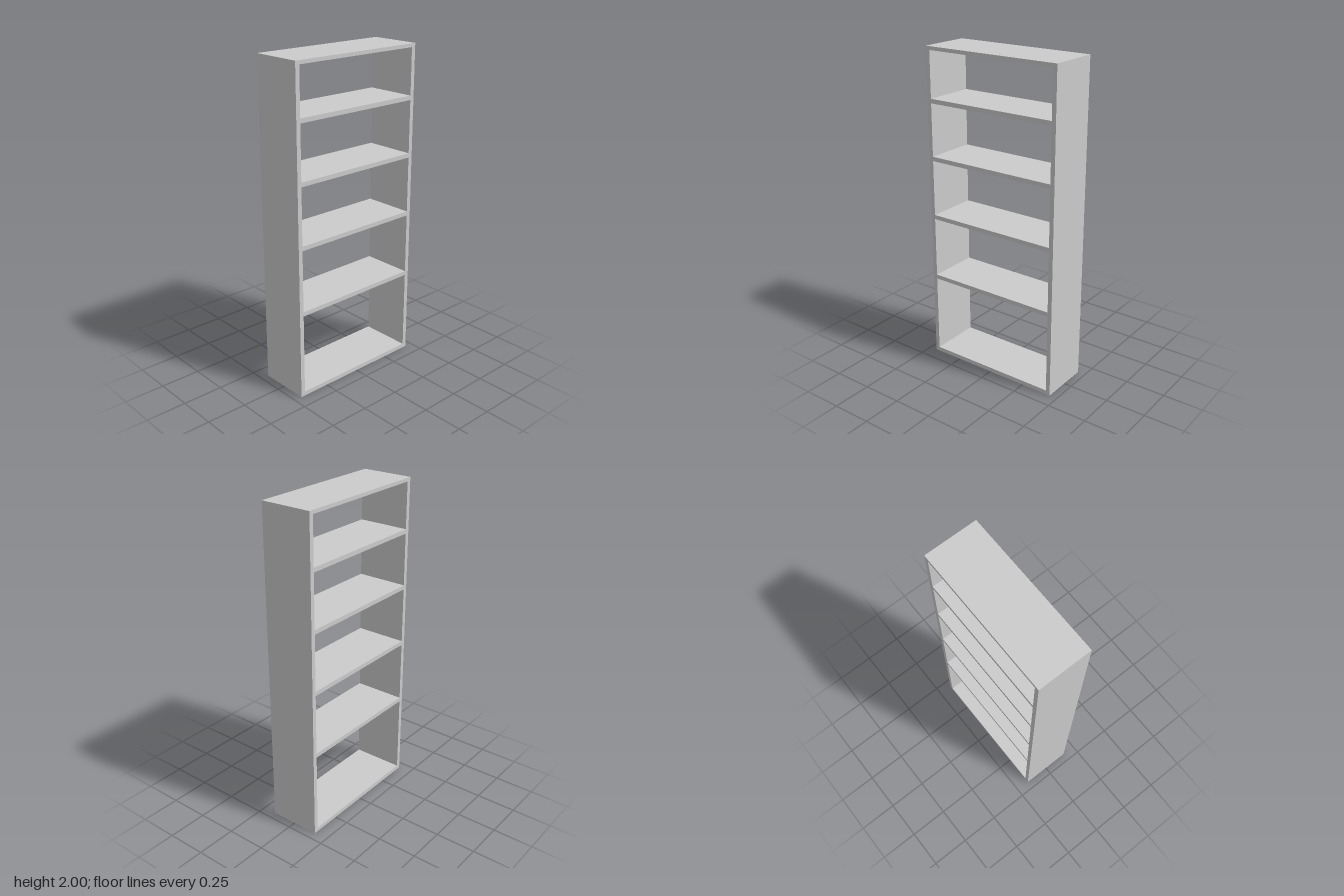
import * as THREE from 'three';

const WIDTH = 0.9, HEIGHT = 2, DEPTH = 0.325;
const BOARD = 0.027, TOP = 0.022;

export function createModel() {
  const model = new THREE.Group();
  model.name = 'bookcase';
  const material = new THREE.MeshStandardMaterial({ color: 0xcccccc });
  const innerHalf = WIDTH / 2 - BOARD;

  // Outer frame: two sides, base and top in one piece, open front and back
  const outline = new THREE.Shape([
    new THREE.Vector2(-WIDTH / 2, 0),
    new THREE.Vector2(WIDTH / 2, 0),
    new THREE.Vector2(WIDTH / 2, HEIGHT),
    new THREE.Vector2(-WIDTH / 2, HEIGHT),
  ]);
  outline.holes.push(new THREE.Path([
    new THREE.Vector2(-innerHalf, BOARD),
    new THREE.Vector2(-innerHalf, HEIGHT - TOP),
    new THREE.Vector2(innerHalf, HEIGHT - TOP),
    new THREE.Vector2(innerHalf, BOARD),
  ]));
  const frameGeometry = new THREE.ExtrudeGeometry(outline, { depth: DEPTH, bevelEnabled: false });
  frameGeometry.translate(0, 0, -DEPTH / 2);
  const frame = new THREE.Mesh(frameGeometry, material);
  frame.name = 'frame';
  model.add(frame);

  // Shelves, spaced closer together towards the top
  const shelfGeometry = new THREE.BoxGeometry(innerHalf * 2, BOARD, DEPTH);
  [0.543, 0.951, 1.327, 1.681].forEach((y, i) => {
    const shelf = new THREE.Mesh(shelfGeometry, material);
    shelf.name = `shelf${i + 1}`;
    shelf.position.y = y;
    model.add(shelf);
  });

  return model;
}
